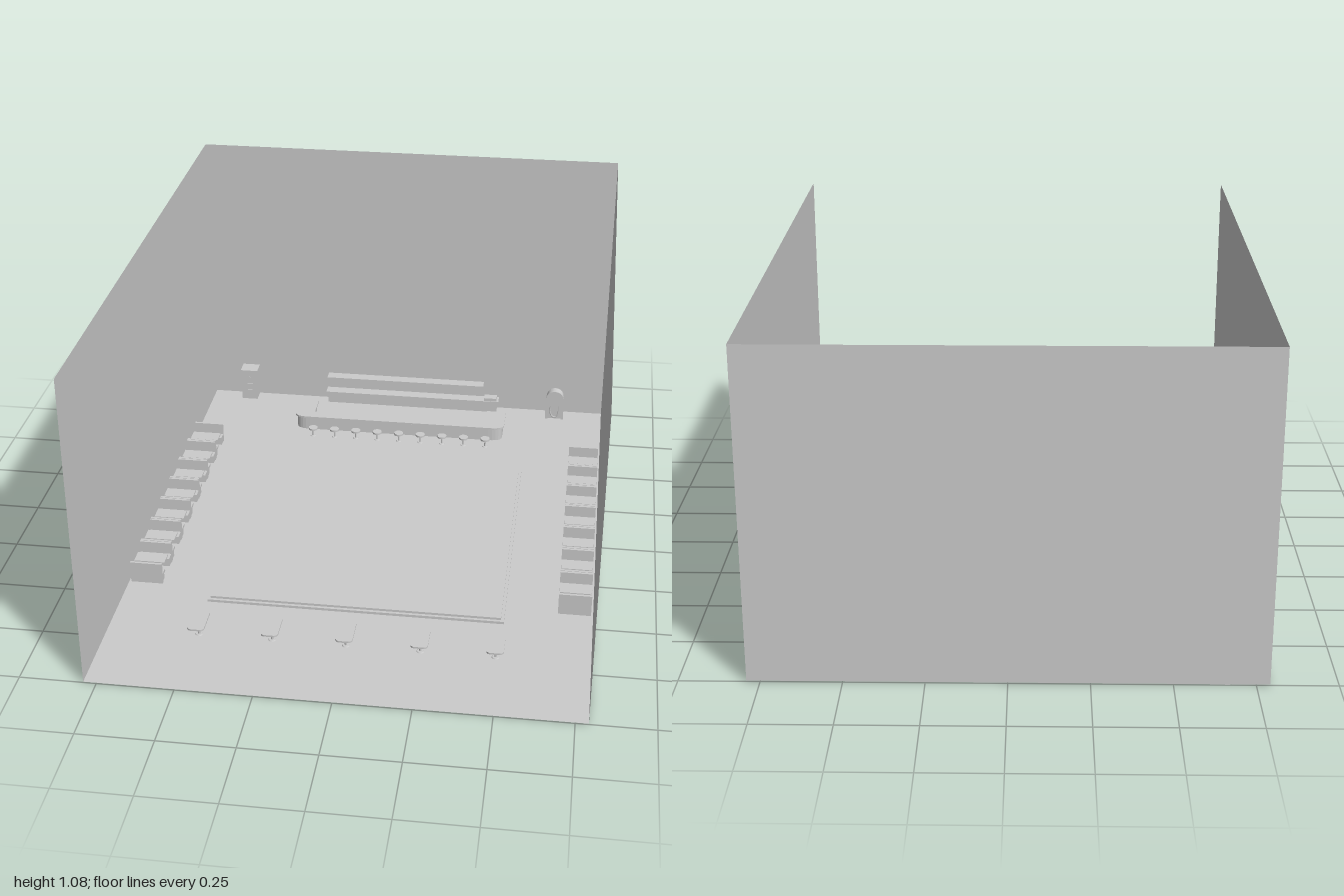
import * as THREE from 'three';

const mat = new THREE.MeshStandardMaterial({ color: 0xcccccc, side: THREE.DoubleSide });
const FLOOR = 0.003;

function add(parent, name, geometry, x = 0, y = 0, z = 0) {
  const m = new THREE.Mesh(geometry, mat);
  m.name = name;
  m.position.set(x, y, z);
  parent.add(m);
  return m;
}

// Box given by its x, y and z ranges
function box(parent, name, x0, x1, y0, y1, z0, z1) {
  return add(parent, name, new THREE.BoxGeometry(x1 - x0, y1 - y0, z1 - z0),
    (x0 + x1) / 2, (y0 + y1) / 2, (z0 + z1) / 2);
}

function group(parent, name, x = 0, y = 0, z = 0) {
  const g = new THREE.Group();
  g.name = name;
  g.position.set(x, y, z);
  parent.add(g);
  return g;
}

// Plan outline (x, -z) raised to a flat slab
function slab(parent, name, shape, y0, y1) {
  const g = new THREE.ExtrudeGeometry(shape, { depth: y1 - y0, bevelEnabled: false, curveSegments: 6 });
  g.rotateX(-Math.PI / 2);
  return add(parent, name, g, 0, y0, 0);
}

function roundedRect(w, d, r) {
  const s = new THREE.Shape(), x = w / 2, y = d / 2;
  s.absarc(x - r, y - r, r, 0, Math.PI / 2);
  s.absarc(-x + r, y - r, r, Math.PI / 2, Math.PI);
  s.absarc(-x + r, -y + r, r, Math.PI, Math.PI * 1.5);
  s.absarc(x - r, -y + r, r, Math.PI * 1.5, Math.PI * 2);
  s.closePath();
  return s;
}

// U-shaped counter plan, inset from the overhanging top by i
function counterPlan(i) {
  const X = 0.415 - i, X2 = 0.34 + i, back = 0.855 - i, front = 0.715 + i, inner = 0.76 - i, r = 0.045;
  const s = new THREE.Shape();
  s.moveTo(-X, back);
  s.lineTo(-X, front + r * 0.7);
  s.quadraticCurveTo(-X, front, -X + r * 1.2, front);
  s.lineTo(X - r * 1.2, front);
  s.quadraticCurveTo(X, front, X, front + r * 0.7);
  s.lineTo(X, back);
  s.lineTo(X2, back);
  s.lineTo(X2, inner);
  s.lineTo(-X2, inner);
  s.lineTo(-X2, back);
  s.closePath();
  return s;
}

// Upright arch outline, flat at the foot
function arch(w, h, Type = THREE.Shape) {
  const s = new Type(), r = w / 2;
  s.moveTo(-r, 0);
  s.lineTo(r, 0);
  s.lineTo(r, h - r);
  s.absarc(0, h - r, r, 0, Math.PI);
  s.closePath();
  return s;
}

export function createModel() {
  const room = new THREE.Group();
  room.name = 'dinerRoom';

  // Floor and three thin walls
  const H = 1.075, X = 0.792;
  add(room, 'floor', new THREE.PlaneGeometry(2 * X, 2), 0, FLOOR, 0).rotation.x = -Math.PI / 2;
  add(room, 'backWall', new THREE.PlaneGeometry(2 * X, H - FLOOR), 0, (H + FLOOR) / 2, -1);
  for (const s of [-1, 1]) {
    add(room, s > 0 ? 'leftWall' : 'rightWall', new THREE.PlaneGeometry(2, H - FLOOR),
      s * X, (H + FLOOR) / 2, 0).rotation.y = -s * Math.PI / 2;
  }

  // Stepped dance floor
  const dance = group(room, 'danceFloor', 0, 0, 0.015);
  box(dance, 'lowerStep', -0.5, 0.5, FLOOR, 0.012, -0.5, 0.5);
  box(dance, 'upperStep', -0.49, 0.49, 0.012, 0.02, -0.49, 0.49);

  // Booths along both side walls
  const period = 0.1447, first = -0.582;
  for (const s of [-1, 1]) {
    const row = group(room, s > 0 ? 'leftBooths' : 'rightBooths', s * 0.73, 0, 0);
    for (let i = 0; i < 7; i++) {
      const booth = group(row, 'booth', 0, 0, first + period * (i + 0.5));
      for (const e of [-1, 1]) {
        const zb = e * (period / 2 - 0.0055);
        box(booth, 'benchBack', -0.055, 0.055, FLOOR, 0.08, zb - 0.0045, zb + 0.0045);
        const zs = e * 0.0455;
        box(booth, 'benchSeat', -0.055, 0.055, 0.028, 0.038, zs - 0.0175, zs + 0.0175);
        const zk = e * 0.05;
        box(booth, 'benchBase', -0.053, 0.053, FLOOR, 0.028, zk - 0.013, zk + 0.013);
      }
      box(booth, 'boothTable', -0.053, 0.053, 0.054, 0.06, -0.027, 0.027);
      box(booth, 'boothTableLeg', -0.005, 0.005, FLOOR, 0.054, -0.005, 0.005);
    }
  }

  // Serving counter and its stools
  const counter = group(room, 'counter');
  slab(counter, 'counterBody', counterPlan(0.007), FLOOR, 0.054);
  slab(counter, 'counterTop', counterPlan(0), 0.054, 0.061);
  for (let i = 0; i < 9; i++) {
    const stool = group(room, 'stool', -0.333 + i * 0.085, 0, -0.67);
    add(stool, 'stoolSeat', new THREE.CylinderGeometry(0.018, 0.018, 0.007, 16), 0, 0.036, 0);
    add(stool, 'stoolPost', new THREE.CylinderGeometry(0.003, 0.003, 0.03, 8), 0, 0.018, 0);
    add(stool, 'stoolFoot', new THREE.CylinderGeometry(0.009, 0.011, 0.003, 12), 0, 0.0045, 0);
  }

  // Small tables near the open side
  for (let i = -2; i <= 2; i++) {
    const table = group(room, 'smallTable', i * 0.243, 0, 0.7);
    slab(table, 'tableTop', roundedRect(0.056, 0.112, 0.014), 0.053, 0.059);
    add(table, 'tablePost', new THREE.CylinderGeometry(0.004, 0.004, 0.05, 8), 0, 0.028, 0);
    add(table, 'tableFoot', new THREE.CylinderGeometry(0.011, 0.013, 0.003, 12), 0, 0.0045, 0);
  }

  // Back counter, cash register and wall shelf
  const service = group(room, 'serviceWall');
  box(service, 'backCounterBody', -0.318, 0.371, FLOOR, 0.046, -0.995, -0.958);
  box(service, 'backCounterTop', -0.325, 0.378, 0.046, 0.052, -0.997, -0.953);
  box(service, 'register', 0.32, 0.37, 0.052, 0.064, -0.99, -0.957);
  box(service, 'wallShelf', -0.32, 0.315, 0.113, 0.117, -0.998, -0.955);

  // Vending cabinet in the right back corner
  const cabinet = group(room, 'vendingCabinet', -0.642, 0, -0.97);
  box(cabinet, 'cabinetBody', -0.031, 0.031, 0, 0.12, -0.028, 0.026);
  box(cabinet, 'cabinetCap', -0.034, 0.034, 0.12, 0.133, -0.03, 0.03);
  box(cabinet, 'screen', -0.018, 0.018, 0.07, 0.074, 0.026, 0.029);
  for (const s of [-1, 1]) box(cabinet, 'slotSide', s * 0.015 - 0.003, s * 0.015 + 0.003, 0.042, 0.07, 0.026, 0.029);
  box(cabinet, 'slotFoot', -0.018, 0.018, 0.04, 0.044, 0.026, 0.029);
  box(cabinet, 'slotPost', -0.004, 0.004, 0.056, 0.07, 0.026, 0.029);
  add(cabinet, 'knob', new THREE.CylinderGeometry(0.005, 0.005, 0.003, 10), 0, 0.1, 0.0275).rotation.x = Math.PI / 2;

  // Arched jukebox
  const juke = group(room, 'jukebox', 0.605, 0, -0.97);
  add(juke, 'jukeboxBody', new THREE.ExtrudeGeometry(arch(0.066, 0.12),
    { depth: 0.033, bevelEnabled: false, curveSegments: 16 }), 0, FLOOR, 0);
  const frame = arch(0.072, 0.123);
  frame.holes.push(arch(0.052, 0.112, THREE.Path));
  add(juke, 'jukeboxFrame', new THREE.ExtrudeGeometry(frame,
    { depth: 0.008, bevelEnabled: false, curveSegments: 16 }), 0, FLOOR, 0.032);
  const loop = new THREE.CatmullRomCurve3([
    [-0.016, 0.06], [-0.016, 0.03], [-0.009, 0.014], [0, 0.01], [0.009, 0.014], [0.016, 0.03], [0.016, 0.06],
  ].map(([x, y]) => new THREE.Vector3(x, y, 0.034)));
  add(juke, 'jukeboxTube', new THREE.TubeGeometry(loop, 20, 0.003, 6));

  return room;
}
